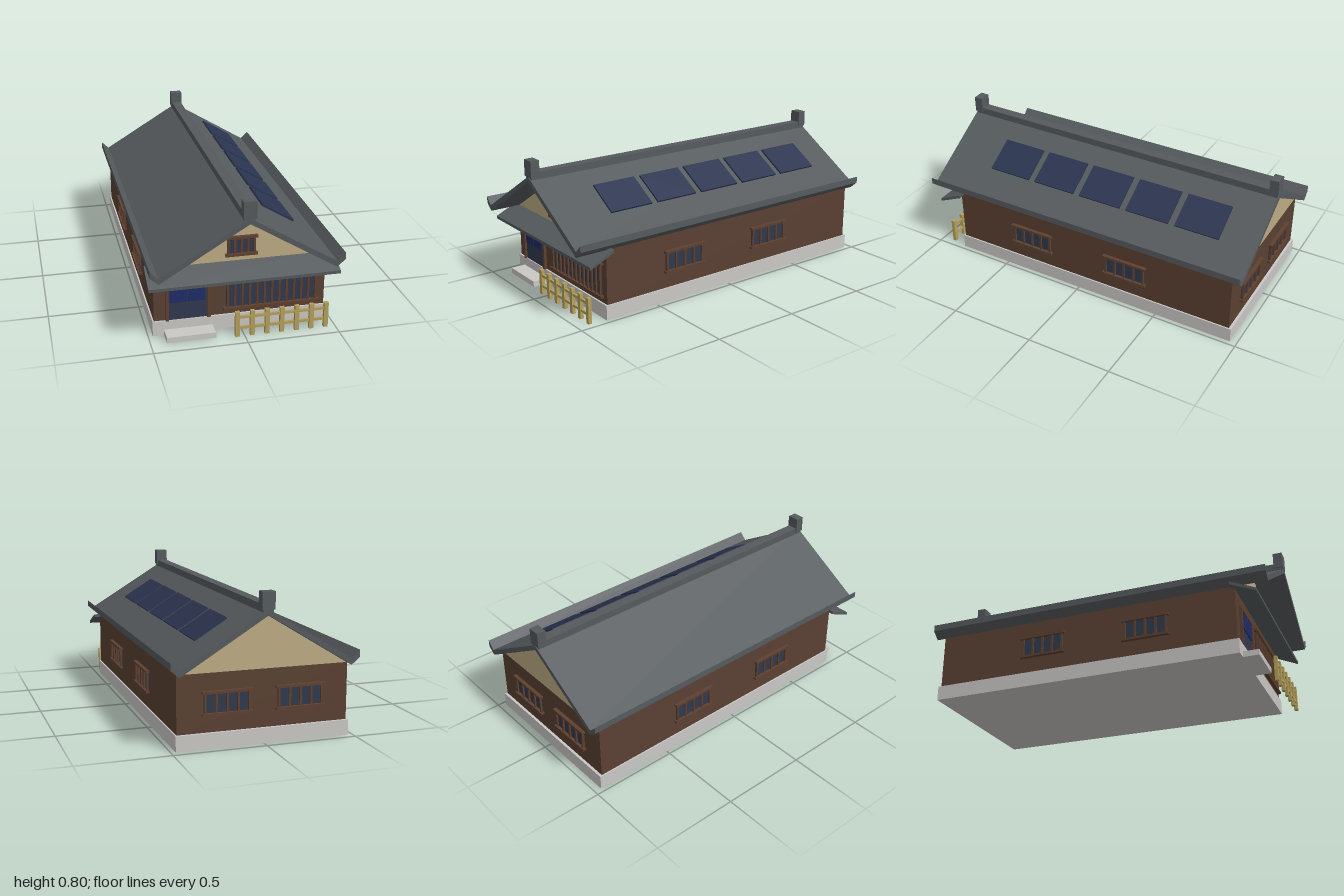
import * as THREE from 'three';

const mat = (name, color) => {
  const m = new THREE.MeshStandardMaterial({ color });
  m.name = name;
  return m;
};

export function createModel() {
  const house = new THREE.Group();
  house.name = 'house';

  const roofGrey = mat('roof grey', 0x555a5d);
  const wallBrown = mat('wall brown', 0x5a4032);
  const trimBrown = mat('trim brown', 0x5e402f);
  const plaster = mat('plaster', 0xbdab84);
  const stone = mat('stone', 0xcac8c5);
  const bamboo = mat('bamboo', 0xb5a05c);
  const glass = mat('dark glass', 0x2f394d);
  const solarBlue = mat('solar blue', 0x2b3450);
  const curtainBlue = mat('curtain blue', 0x1f2b68);

  // Box given by its minimum and maximum corners
  function box(name, material, x0, x1, y0, y1, z0, z1, parent = house) {
    const mesh = new THREE.Mesh(new THREE.BoxGeometry(x1 - x0, y1 - y0, z1 - z0), material);
    mesh.position.set((x0 + x1) / 2, (y0 + y1) / 2, (z0 + z1) / 2);
    mesh.name = name;
    parent.add(mesh);
    return mesh;
  }

  // Profile extruded along z from z0 to z1
  function prism(name, material, points, z0, z1) {
    const shape = new THREE.Shape(points.map(([x, y]) => new THREE.Vector2(x, y)));
    const geo = new THREE.ExtrudeGeometry(shape, { depth: z1 - z0, bevelEnabled: false });
    geo.translate(0, 0, z0);
    const mesh = new THREE.Mesh(geo, material);
    mesh.name = name;
    house.add(mesh);
    return mesh;
  }

  // Barred window facing +z, centred on its own origin
  function barredWindow(name, width, height, panes, overhang, x, y, z, turn = 0) {
    const g = new THREE.Group();
    g.name = name;
    const w = width / 2, h = height / 2, rail = 0.013, bar = 0.0115;
    box('windowPane', glass, -w, w, -h + rail, h - rail, -0.002, 0.004, g);
    for (const s of [-1, 1]) {
      const yc = s * (h - rail / 2);
      box('windowRail', trimBrown, -w - overhang, w + overhang, yc - rail / 2, yc + rail / 2, -0.002, 0.021, g);
    }
    for (let i = 0; i <= panes; i++) {
      const xc = -w + bar / 2 + i * (width - bar) / panes;
      box('windowBar', trimBrown, xc - bar / 2, xc + bar / 2, -h + rail, h - rail, -0.002, 0.014, g);
    }
    g.position.set(x, y, z);
    g.rotation.y = turn;
    house.add(g);
  }

  // Base, entrance step and walls
  box('foundation', stone, -0.475, 0.475, 0, 0.083, -0.96, 0.83);
  box('entranceStep', stone, -0.415, -0.152, 0, 0.032, 0.83, 0.917);
  box('walls', wallBrown, -0.467, 0.467, 0.083, 0.392, -0.945, 0.82);
  prism('gables', plaster, [[-0.467, 0.392], [0.467, 0.392], [0, 0.677]], -0.945, 0.82);

  // Roof with upturned eaves, ridge beam and end blocks
  prism('roof', roofGrey, [
    [0, 0.705], [-0.468, 0.423], [-0.511, 0.466], [-0.511, 0.429], [-0.466, 0.39],
    [0, 0.675], [0.466, 0.39], [0.511, 0.429], [0.511, 0.466], [0.468, 0.423],
  ], -1, 1);
  box('ridgeBeam', roofGrey, -0.029, 0.029, 0.69, 0.73, -0.995, 0.995);
  for (const s of [-1, 1]) {
    box('ridgeEndBlock', roofGrey, -0.035, 0.035, 0.703, 0.795, s * 0.974 - 0.026, s * 0.974 + 0.026);
  }

  // Sloping canopy across the front
  const canopy = prism('frontCanopy', roofGrey,
    [[0.8, 0.403], [0.8, 0.385], [0.945, 0.32], [0.945, 0.337]], -0.51, 0.51);
  canopy.rotation.y = -Math.PI / 2;

  // Solar panels floating just above the +x slope
  for (let i = 0; i < 5; i++) {
    const panel = new THREE.Mesh(new THREE.BoxGeometry(0.206, 0.01, 0.264), solarBlue);
    panel.position.set(0.236, 0.582, -0.66 + i * 0.304);
    panel.rotation.z = -Math.atan(0.61);
    panel.name = 'solarPanel';
    house.add(panel);
  }

  // Entrance: door, frame, rod and hanging curtains
  box('door', glass, -0.39, -0.18, 0.083, 0.29, 0.818, 0.824);
  box('doorPostRight', trimBrown, -0.405, -0.388, 0.083, 0.305, 0.815, 0.836);
  box('doorPostLeft', trimBrown, -0.182, -0.163, 0.083, 0.305, 0.815, 0.836);
  box('doorLintel', trimBrown, -0.388, -0.182, 0.288, 0.305, 0.815, 0.836);
  box('curtainRod', trimBrown, -0.388, -0.182, 0.283, 0.288, 0.826, 0.832);
  for (const x of [-0.332, -0.237]) {
    box('curtain', curtainBlue, x - 0.044, x + 0.044, 0.187, 0.285, 0.827, 0.833);
  }
  for (const x of [-0.381, -0.285, -0.187]) {
    box('curtainHanger', trimBrown, x - 0.004, x + 0.004, 0.266, 0.288, 0.826, 0.835);
  }

  // Windows on every side
  barredWindow('frontLattice', 0.497, 0.197, 12, 0.017, 0.172, 0.211, 0.82);
  barredWindow('gableWindow', 0.152, 0.11, 4, 0.011, 0.001, 0.48, 0.82);
  for (const s of [-1, 1]) {
    for (const z of [-0.3, 0.315]) {
      barredWindow('sideWindow', 0.25, 0.127, 4, 0.011, s * 0.467, 0.236, z, s * Math.PI / 2);
    }
    barredWindow('backWindow', 0.25, 0.127, 4, 0.011, s * 0.2, 0.236, -0.945, Math.PI);
  }

  // Bamboo fence
  const fence = new THREE.Group();
  fence.name = 'fence';
  for (let i = 0; i < 7; i++) {
    const x = -0.04 + i * 0.0811;
    box('fencePost', bamboo, x - 0.012, x + 0.012, 0, 0.145, 0.912, 0.932, fence);
  }
  for (const y of [0.05, 0.112]) {
    box('fenceRail', bamboo, -0.04, 0.446, y - 0.0075, y + 0.0075, 0.916, 0.928, fence);
  }
  house.add(fence);

  return house;
}
